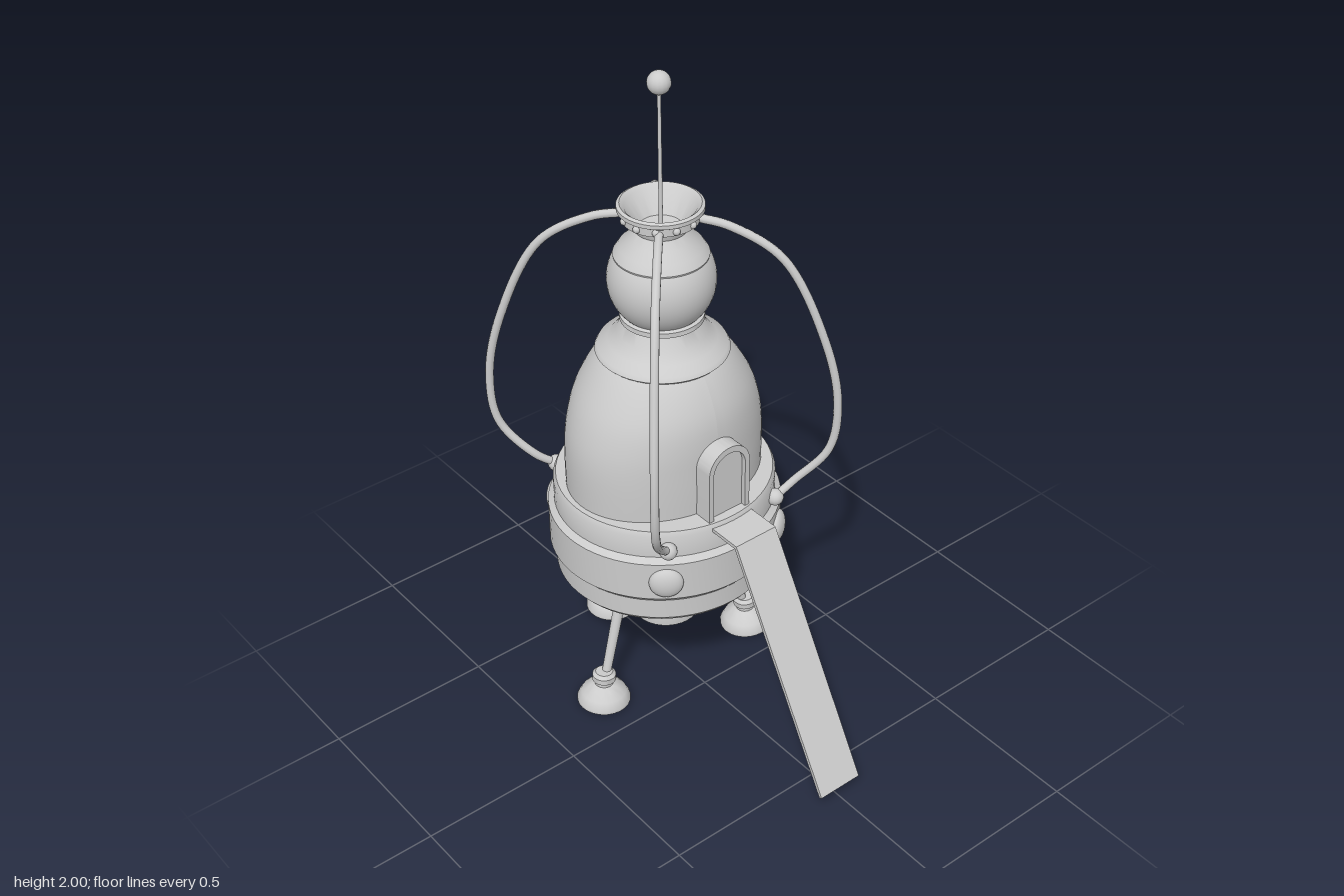
import * as THREE from 'three';
import { toCreasedNormals } from 'three/addons/utils/BufferGeometryUtils.js';

const V = (x, y, z) => new THREE.Vector3(x, y, z);
const AXIS_Z = -0.188; // the vehicle's vertical axis
const material = new THREE.MeshStandardMaterial({ color: 0xcccccc });

export function createModel() {
  const model = new THREE.Group();
  const body = new THREE.Group();
  body.name = 'vehicle';
  body.position.z = AXIS_Z;
  model.add(body);

  const add = (parent, name, geometry) => {
    const mesh = new THREE.Mesh(geometry, material);
    mesh.name = name;
    parent.add(mesh);
    return mesh;
  };
  // Turned part from [radius, height] pairs, running bottom to top on the outside
  const turn = (points, segments = 48) => toCreasedNormals(
    new THREE.LatheGeometry(points.map(p => new THREE.Vector2(...p)), segments), 0.6);
  // Straight tapered rod between two points
  const rod = (parent, name, a, b, ra, rb) => {
    const mesh = add(parent, name, new THREE.CylinderGeometry(rb, ra, a.distanceTo(b), 12));
    mesh.position.copy(a).lerp(b, 0.5);
    mesh.quaternion.setFromUnitVectors(V(0, 1, 0), b.clone().sub(a).normalize());
  };

  // Slightly oval base drum with a raised band
  const base = add(body, 'baseDrum', turn([
    [0, 0.41], [0.318, 0.41], [0.33, 0.425], [0.33, 0.49], [0.348, 0.51], [0.348, 0.635],
    [0.33, 0.65], [0.33, 0.72], [0.322, 0.735], [0, 0.735],
  ], 64));
  base.scale.z = 0.967;

  // Dome: oval at the foot, round where it meets the collar
  const dome = new THREE.LatheGeometry(new THREE.SplineCurve([
    [0.306, 0.72], [0.306, 0.87], [0.288, 0.97], [0.25, 1.06], [0.18, 1.16], [0.11, 1.2],
  ].map(p => new THREE.Vector2(...p))).getPoints(24), 64);
  const pos = dome.attributes.position;
  for (let i = 0; i < pos.count; i++) {
    const t = THREE.MathUtils.smoothstep(pos.getY(i), 0.85, 1.17);
    pos.setZ(i, pos.getZ(i) * THREE.MathUtils.lerp(0.81, 0.95, t));
  }
  dome.computeVertexNormals();
  add(body, 'dome', dome);

  add(body, 'collar', turn([
    [0.1, 1.145], [0.182, 1.145], [0.192, 1.155], [0.185, 1.168], [0.155, 1.185],
    [0.13, 1.215], [0.112, 1.25], [0.12, 1.255], [0.12, 1.27], [0.1, 1.28], [0.1, 1.3],
  ]));
  const head = add(body, 'headSphere', new THREE.SphereGeometry(0.153, 48, 32));
  head.position.y = 1.38;
  add(body, 'headCap', turn([
    [0.11, 1.45], [0.132, 1.45], [0.134, 1.46], [0.118, 1.485], [0.09, 1.51], [0.072, 1.535],
  ]));
  // Hollow crown with studs around its flare
  add(body, 'crown', turn([
    [0.07, 1.53], [0.075, 1.54], [0.078, 1.558], [0.108, 1.568], [0.108, 1.59], [0.121, 1.598],
    [0.121, 1.61], [0.112, 1.615], [0.1, 1.605], [0.06, 1.54], [0, 1.53],
  ]));
  for (let i = 0; i < 12; i++) {
    const a = (i + 0.5) / 12 * Math.PI * 2;
    add(body, 'crownStud', new THREE.SphereGeometry(0.011, 10, 8))
      .position.set(Math.sin(a) * 0.107, 1.58, Math.cos(a) * 0.107);
  }

  // Antenna
  rod(body, 'antennaMast', V(0, 1.53, 0), V(0, 1.95, 0), 0.006, 0.005);
  add(body, 'antennaBall', new THREE.SphereGeometry(0.033, 16, 12)).position.y = 1.967;

  // Engine nozzle, open below
  add(body, 'engineNozzle', turn([
    [0, 0.27], [0.07, 0.27], [0.085, 0.2], [0.103, 0.2], [0.104, 0.22], [0.094, 0.315],
    [0.115, 0.33], [0.118, 0.35], [0.118, 0.42],
  ], 32));

  // Four bowed pipes: [outermost x, outermost z], each ending above a lamp
  const pipes = [[0.34, 0.365], [-0.325, 0.375], [-0.342, -0.375], [0.287, -0.42]];
  const bow = [[0.2, 1.575], [0.38, 1.555], [0.67, 1.465], [0.92, 1.2], [1, 1.0], [0.96, 0.84]];
  for (const [ex, ez] of pipes) {
    const sx = Math.sign(ex), sz = Math.sign(ez);
    const end = V(sx * 0.198, 0.68, sz * 0.268);
    const path = bow.map(([f, y]) => V(ex * f, y, ez * f));
    path.push(V(ex, 0, ez).multiplyScalar(0.8).lerp(end, 0.25).setY(0.725), end);
    add(body, 'pipe', new THREE.TubeGeometry(new THREE.CatmullRomCurve3(path), 56, 0.0125, 10));
    add(body, 'pipeSocket', new THREE.SphereGeometry(0.026, 16, 12)).position.copy(end);

    // Flattened lamp on the band, facing outward
    const lamp = add(body, 'bandLamp', new THREE.SphereGeometry(0.05, 24, 16));
    lamp.position.set(sx * 0.207, 0.57, sz * 0.268);
    lamp.rotation.y = Math.atan2(sx * 0.207, sz * 0.268);
    lamp.scale.z = 0.5;
  }

  // Three splayed legs with hollow feet
  const footShape = turn([
    [0, 0.045], [0.03, 0.04], [0.07, 0.005], [0.081, 0.005], [0.081, 0.014], [0.068, 0.038],
    [0.04, 0.06], [0.028, 0.066], [0.028, 0.078], [0.036, 0.082], [0.036, 0.1],
    [0.026, 0.11], [0, 0.11],
  ], 24);
  for (const [x, z] of [[0.984, 0.165], [-0.984, 0.165], [0, -1]]) {
    const leg = new THREE.Group();
    leg.name = 'leg';
    body.add(leg);
    rod(leg, 'strut', V(x * 0.276, 0.09, z * 0.276), V(x * 0.18, 0.42, z * 0.18), 0.014, 0.018);
    const foot = add(leg, 'foot', footShape);
    foot.position.set(x * 0.287, 0.004, z * 0.287);
    foot.rotation.set(-z * 0.05, 0, x * 0.05);
  }

  // Arched doorway with a recessed door
  const arch = (Outline, w, bottom, spring) => {
    const s = new Outline();
    s.moveTo(-w, bottom);
    s.lineTo(w, bottom);
    s.lineTo(w, spring);
    s.absarc(0, spring, w, 0, Math.PI, false);
    s.closePath();
    return s;
  };
  const extrude = (shape, depth) => toCreasedNormals(new THREE.ExtrudeGeometry(
    shape, { depth, bevelEnabled: false, curveSegments: 20 }), 0.6);
  const frame = arch(THREE.Shape, 0.073, 0.72, 0.894);
  frame.holes.push(arch(THREE.Path, 0.057, 0.735, 0.89));
  add(model, 'doorFrame', extrude(frame, 0.16)).position.z = -0.05;
  add(model, 'door', extrude(arch(THREE.Shape, 0.06, 0.722, 0.89), 0.145)).position.z = -0.05;

  // Boarding ramp: level landing, then a slope down to the ground
  const profile = new THREE.Shape([
    [0.08, 0.712], [0.22, 0.712], [0.607, 0.038], [0.617, 0.043], [0.227, 0.723], [0.08, 0.723],
  ].map(p => new THREE.Vector2(...p)));
  const ramp = add(model, 'ramp', extrude(profile, 0.144));
  ramp.rotation.y = -Math.PI / 2;
  ramp.position.x = 0.072;

  return model;
}
